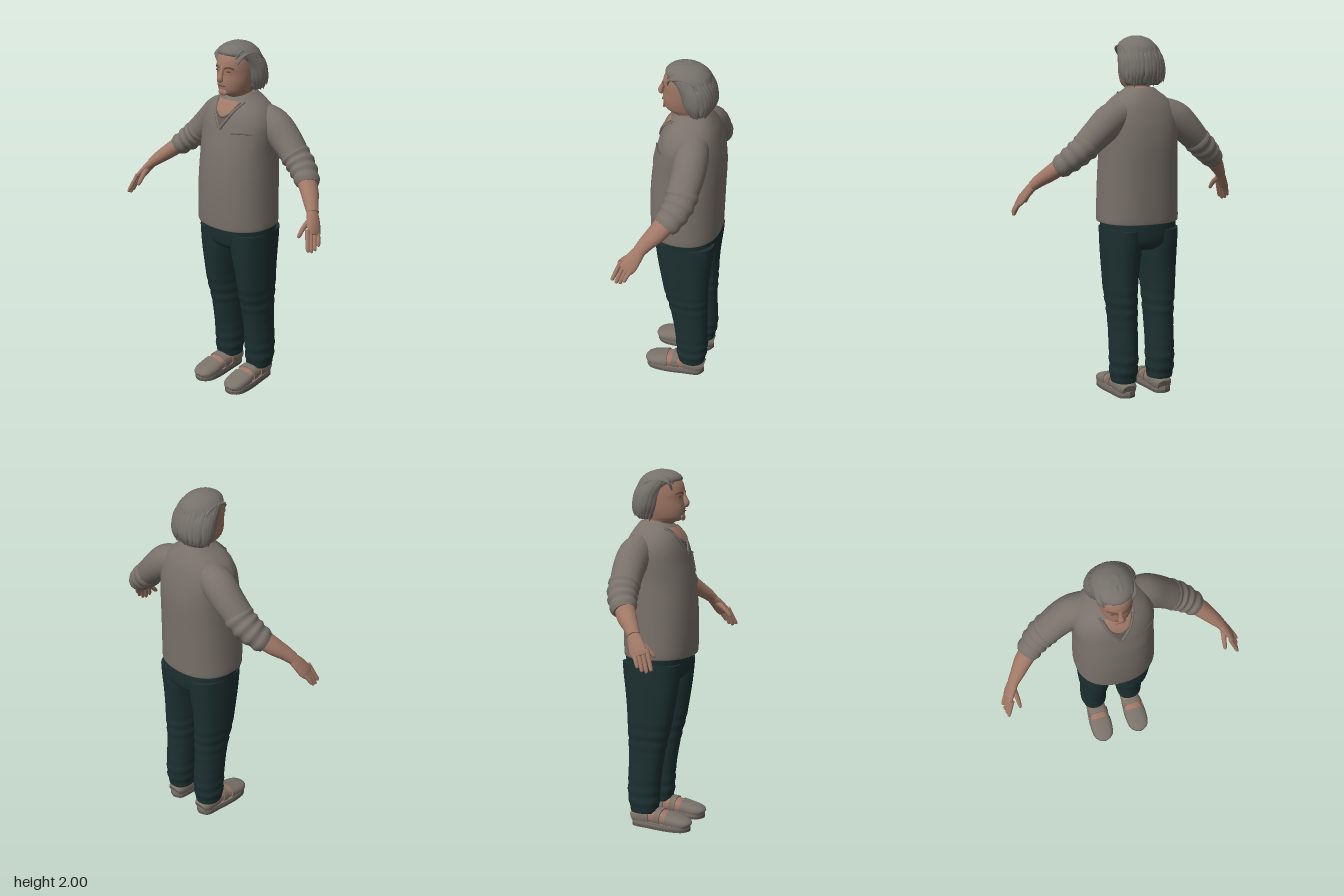
import * as THREE from 'three';

const mat = (name, color, side = THREE.FrontSide) => {
  const m = new THREE.MeshStandardMaterial({ color, side });
  m.name = name;
  return m;
};
const V = (x, y, z) => new THREE.Vector3(x, y, z);

// Smoothly subdivide rows of numbers (Catmull-Rom)
function smooth(rows, sub = 4) {
  const out = [], n = rows.length;
  const at = i => rows[Math.min(n - 1, Math.max(0, i))];
  for (let i = 0; i < n - 1; i++) {
    for (let k = 0; k < sub; k++) {
      const t = k / sub, [p, a, b, q] = [at(i - 1), at(i), at(i + 1), at(i + 2)];
      out.push(a.map((v, c) => v + 0.5 * t * (b[c] - p[c] +
        t * (2 * p[c] - 5 * v + 4 * b[c] - q[c] + t * (3 * (v - b[c]) + q[c] - p[c])))));
    }
  }
  out.push(rows[n - 1]);
  return out;
}

// Skin oval rings [x, y, z, radiusU, radiusV] along a path; level keeps rings horizontal
function loft(rings, { seg = 24, e = 2, hint = V(1, 0, 0), level = false } = {}) {
  const pos = [], idx = [], n = rings.length;
  rings.forEach(([x, y, z, a, b], i) => {
    const p = rings[Math.max(0, i - 1)], q = rings[Math.min(n - 1, i + 1)];
    const T = level ? V(0, 1, 0) : V(q[0] - p[0], q[1] - p[1], q[2] - p[2]).normalize();
    const u = hint.clone().addScaledVector(T, -hint.dot(T)).normalize();
    const v = u.clone().cross(T);
    for (let j = 0; j < seg; j++) {
      const c = Math.cos(j / seg * Math.PI * 2), s = Math.sin(j / seg * Math.PI * 2);
      const P = V(x, y, z).addScaledVector(u, a * Math.sign(c) * Math.abs(c) ** (2 / e))
        .addScaledVector(v, b * Math.sign(s) * Math.abs(s) ** (2 / e));
      pos.push(P.x, P.y, P.z);
    }
  });
  for (let i = 0; i < n - 1; i++) for (let j = 0; j < seg; j++) {
    const a = i * seg + j, b = i * seg + (j + 1) % seg;
    idx.push(a, a + seg, b, b, a + seg, b + seg);
  }
  // End caps with their own vertices
  for (const end of [0, n - 1]) {
    const base = pos.length / 3;
    pos.push(...pos.slice(end * seg * 3, (end + 1) * seg * 3), ...rings[end].slice(0, 3));
    for (let j = 0; j < seg; j++) {
      const a = base + j, b = base + (j + 1) % seg;
      idx.push(base + seg, ...(end ? [b, a] : [a, b]));
    }
  }
  return build(pos, idx);
}
function build(pos, idx) {
  const g = new THREE.BufferGeometry();
  g.setAttribute('position', new THREE.Float32BufferAttribute(pos, 3));
  g.setIndex(idx);
  g.computeVertexNormals();
  return g;
}
// Upright body rows: [y, halfWidth, zBack, zFront, centreX]
const body = (rows, sub) => smooth(rows.map(([y, w, zb, zf, x = 0]) => [x, y, (zb + zf) / 2, w, (zf - zb) / 2]), sub);
const limb = (rows, opt, sub) => loft(smooth(rows, sub), opt);

// Front surface depth of an upright body at (x, y)
function frontZ(rings, e, x, y) {
  let i = 0;
  while (i < rings.length - 2 && rings[i + 1][1] < y) i++;
  const t = (y - rings[i][1]) / (rings[i + 1][1] - rings[i][1]);
  const [, , z, w, d] = rings[i].map((v, c) => v + (rings[i + 1][c] - v) * t);
  return z + d * Math.max(0, 1 - Math.min(1, Math.abs(x / w)) ** e) ** (1 / e);
}
// Thin panel laid on a front surface
function panel(z, cx, y0, y1, half, off) {
  const pos = [], idx = [], N = 12;
  for (let i = 0; i <= N; i++) for (let j = 0; j <= N; j++) {
    const y = y0 + (y1 - y0) * i / N, x = cx + half(i / N) * (j / N * 2 - 1);
    pos.push(x, y, z(x, y) + off);
    if (i < N && j < N) {
      const a = i * (N + 1) + j, b = a + N + 1;
      idx.push(a, a + 1, b, b, a + 1, b + 1);
    }
  }
  return build(pos, idx);
}
const tube = (pts, r) => new THREE.TubeGeometry(new THREE.CatmullRomCurve3(pts), 24, r, 6);
function mirrored(geo) {
  const g = geo.clone().scale(-1, 1, 1), a = g.index.array;
  for (let i = 0; i < a.length; i += 3) [a[i], a[i + 1]] = [a[i + 1], a[i]];
  g.computeVertexNormals();
  return g;
}

export function createModel() {
  const group = new THREE.Group();
  const shirt = mat('shirt taupe', 0x79716a, THREE.DoubleSide);
  const under = mat('undershirt and seams', 0x655e58, THREE.DoubleSide);
  const skin = mat('skin', 0xa07866, THREE.DoubleSide);
  const crease = mat('dark skin', 0x6a4a3f);
  const hair = mat('hair grey', 0x76716b);
  const denim = mat('trousers dark teal', 0x1d3031);
  const shoe = mat('sandal', 0x7b736a);
  const sole = mat('sole', 0x5f5953);
  const add = (name, geo, m) => {
    const o = new THREE.Mesh(geo, m);
    o.name = name;
    group.add(o);
  };
  const pair = (name, geo, m) => { add(name + 'Left', geo, m); add(name + 'Right', mirrored(geo), m); };

  // Shirt body
  const torso = body([[.985, .222, -.205, .178], [1.0, .227, -.208, .182], [1.1, .224, -.212, .186], [1.25, .219, -.217, .183],
    [1.4, .214, -.222, .168], [1.5, .217, -.214, .147], [1.57, .212, -.2, .13], [1.63, .185, -.182, .108],
    [1.67, .145, -.162, .082], [1.7, .1, -.143, .055], [1.72, .075, -.125, .03]]);
  const chest = (x, y) => frontZ(torso, 2.3, x, y);
  add('shirtBody', loft(torso, { seg: 40, e: 2.3, level: true }), shirt);
  // Neck opening: undershirt, bare skin and collar bands
  add('undershirt', panel(chest, 0, 1.55, 1.685, t => .004 + .08 * t, .003), under);
  add('neckSkin', panel(chest, 0, 1.612, 1.69, t => .012 + .058 * Math.sqrt(t), .006), skin);
  const band = (pts, off) => pts.map(([x, y]) => V(x, y, chest(x, y) + off));
  add('crewBand', tube(band([[-.075, 1.685], [-.05, 1.635], [0, 1.607], [.05, 1.635], [.075, 1.685]], .004), .005), under);
  pair('collar', tube(band([[0, 1.545], [.03, 1.59], [.06, 1.638], [.09, 1.688]], .003), .008), shirt);
  // Chest pocket
  add('pocket', panel(chest, .128, 1.43, 1.54, t => .022 + .029 * Math.min(1, t * 4), .006), shirt);
  add('pocketHem', tube(band([[.077, 1.535], [.128, 1.538], [.178, 1.535]], .005), .004), under);

  // Sleeves with pushed-up folds
  const arm = { hint: V(0, 0, 1) };
  pair('sleeve', limb([[.1, 1.6, -.08, .075, .07], [.19, 1.555, -.088, .09, .09], [.27, 1.487, -.09, .088, .083],
    [.345, 1.415, -.08, .082, .072]], arm), shirt);
  const folds = [];
  for (let i = 0; i <= 8; i++) {
    const t = i / 8, r = (i % 2 ? .005 : -.003) - .02 * t * t;
    folds.push([.325 + .15 * t, 1.43 - .13 * t, -.084 + .06 * t * t, .084 + r, .073 + r]);
  }
  pair('sleeveFolds', limb(folds, arm), shirt);

  // Forearms and hands
  pair('forearm', limb([[.43, 1.34, -.05, .055, .048], [.5, 1.28, -.002, .052, .043], [.55, 1.235, .045, .041, .035],
    [.585, 1.2, .075, .034, .027]], arm), skin);
  pair('palm', limb([[.572, 1.212, .065, .03, .025], [.6, 1.175, .09, .04, .022], [.628, 1.13, .117, .045, .018],
    [.64, 1.108, .13, .038, .012]], arm), skin);
  for (let i = 0; i < 4; i++) {
    const z = .1 + .023 * i, x = .642 - .005 * i, len = [.062, .08, .085, .075][i];
    pair('finger' + (i + 1), limb([[x - .01, 1.125 + .006 * i, z - .008, .012, .012], [x + .012, 1.122 - len * .5, z + .015, .0115, .011],
      [x + .026, 1.122 - len, z + .03, .01, .009], [x + .027, 1.115 - len, z + .033, .003, .003]], { ...arm, seg: 10 }), skin);
  }
  pair('thumb', limb([[.592, 1.175, .1, .018, .015], [.585, 1.14, .15, .014, .013], [.583, 1.105, .183, .011, .01],
    [.583, 1.095, .19, .004, .004]], { ...arm, seg: 10 }), skin);

  // Trousers
  add('trouserSeat', loft(body([[.835, .17, -.14, .08], [.87, .2, -.188, .128], [.94, .212, -.2, .148], [1.03, .215, -.2, .16]]),
    { seg: 36, e: 2.2, level: true }), denim);
  const leg = body([[.085, .067, -.147, .004, .112], [.12, .074, -.156, .014, .114], [.2, .077, -.166, .02, .113], [.3, .077, -.163, .028, .113],
    [.4, .077, -.16, .044, .112], [.5, .08, -.162, .065, .113], [.6, .086, -.165, .09, .116], [.7, .092, -.17, .108, .114],
    [.8, .1, -.18, .125, .11], [.88, .104, -.19, .135, .108], [.95, .105, -.195, .14, .108]], 6);
  // Soft cloth folds near the hem and knee
  leg.forEach(r => {
    const f = .003 * Math.sin(r[1] * 95) * (Math.exp(-(((r[1] - .17) / .1) ** 2)) + Math.exp(-(((r[1] - .52) / .08) ** 2)));
    r[3] += f; r[4] += f;
  });
  pair('trouserLeg', loft(leg, { seg: 28, e: 2.2, level: true }), denim);

  // Feet in strapped sandals
  const footRows = smooth([[-.14, .035, .07], [-.11, .05, .09], [-.03, .054, .105], [.04, .057, .1], [.1, .061, .083],
    [.16, .056, .068], [.19, .042, .056], [.203, .02, .042]], 6);
  const foot = (z0, z1, grow) => loft(footRows.filter(r => r[0] >= z0 && r[0] <= z1)
    .map(([z, w, top]) => [.11 + .03 * Math.max(0, z), top / 2 + .008, z, w + grow, top / 2 - .008 + grow]), { e: 2.5 });
  pair('foot', foot(-.13, .19, -.002), skin);
  [['heelCup', -.14, -.025], ['ankleStrap', -.005, .045], ['toeCover', .07, .21]].forEach(([n, a, b]) => pair(n, foot(a, b, .005), shoe));
  const print = new THREE.Shape(smooth([[.11, .147], [.065, .12], [.056, .03], [.048, -.08], [.06, -.17], [.115, -.206],
    [.17, -.17], [.181, -.08], [.17, .03], [.157, .12], [.11, .147]]).map(([x, y]) => new THREE.Vector2(x, y)));
  const slab = (h, y) => {
    const g = new THREE.ExtrudeGeometry(print, { depth: h, bevelEnabled: false });
    g.rotateX(-Math.PI / 2).translate(0, y, 0);
    g.setIndex([...Array(g.attributes.position.count).keys()]);
    return g;
  };
  pair('sole', slab(.016, 0), sole);
  pair('footbed', slab(.02, .016), shoe);

  // Head and neck
  const head = body([[1.6, .085, -.12, .05], [1.68, .07, -.11, .042], [1.712, .066, -.11, .058], [1.725, .066, -.1, .095],
    [1.745, .076, -.1, .114], [1.79, .088, -.11, .12], [1.84, .094, -.12, .116], [1.88, .095, -.12, .119],
    [1.93, .09, -.11, .105], [1.97, .06, -.08, .07], [1.985, .02, -.03, .02]]);
  const face = (x, y) => frontZ(head, 2, x, y);
  add('headAndNeck', loft(head, { seg: 36, level: true }), skin);
  add('nose', limb([[0, 1.888, .11, .009, .008], [0, 1.85, .122, .011, .012], [0, 1.822, .133, .017, .015],
    [0, 1.808, .13, .017, .011], [0, 1.802, .122, .008, .005]], { seg: 14 }), skin);
  const blob = (x, y, w, h, d) => new THREE.SphereGeometry(1, 14, 8).scale(w, h, d).translate(x, y, face(x, y));
  add('mouth', blob(0, 1.778, .027, .004, .004), crease);
  add('chin', blob(0, 1.742, .03, .018, .008), skin);
  pair('eye', blob(.036, 1.857, .015, .006, .004), crease);
  pair('brow', tube([[.014, 1.872], [.036, 1.88], [.062, 1.87]].map(([x, y]) => V(x, y, face(x, y))), .005), crease);

  // Hair mass
  const cap = body([[1.735, .095, -.135, -.035], [1.76, .112, -.155, -.01], [1.82, .119, -.16, .005], [1.88, .118, -.15, .035],
    [1.92, .112, -.14, .082], [1.95, .1, -.125, .104], [1.98, .068, -.088, .075], [1.997, .025, -.035, .02]]);
  add('hairCap', loft(cap, { seg: 32, level: true }), hair);
  // Ragged locks hanging round the sides and back
  let seed = 7;
  const rnd = () => (seed = (seed * 16807) % 2147483647) / 2147483647;
  const onCap = (y, ang, k) => {
    const r = cap.reduce((p, q) => Math.abs(q[1] - y) < Math.abs(p[1] - y) ? q : p);
    return [Math.cos(ang) * r[3] * k, y, r[2] + Math.sin(ang) * r[4] * k];
  };
  for (let i = 0; i < 22; i++) {
    const a = Math.PI * (.8 + 1.4 * i / 21), end = 1.725 + .035 * rnd(), top = 1.9 + .06 * rnd(), d = (rnd() - .5) * .2;
    add('hairLock' + i, limb([[...onCap(top, a, .98), .01, .004], [...onCap(1.87, a + d * .3, 1.01), .022, .009],
      [...onCap(1.8, a + d * .7, 1.03), .02, .01], [...onCap(end, a + d, 1.1), .003, .002]],
      { seg: 8, hint: V(-Math.sin(a), 0, Math.cos(a)) }), hair);
  }
  // Swept-back locks on the crown
  for (let i = 0; i < 9; i++) {
    const x = (i - 4) * .021, h = .55 * x * x / .085;
    add('crownLock' + i, limb([[x * .8, 1.938 - h, .1 - Math.abs(x) * .3, .008, .004], [x, 1.978 - h, .06, .016, .008],
      [x * 1.05, 1.99 - h, 0, .017, .008], [x * 1.1, 1.972 - h, -.07, .014, .007],
      [x * 1.2, 1.93 - .03 * rnd() - h, -.125, .003, .002]], { seg: 8 }), hair);
  }
  return group;
}
